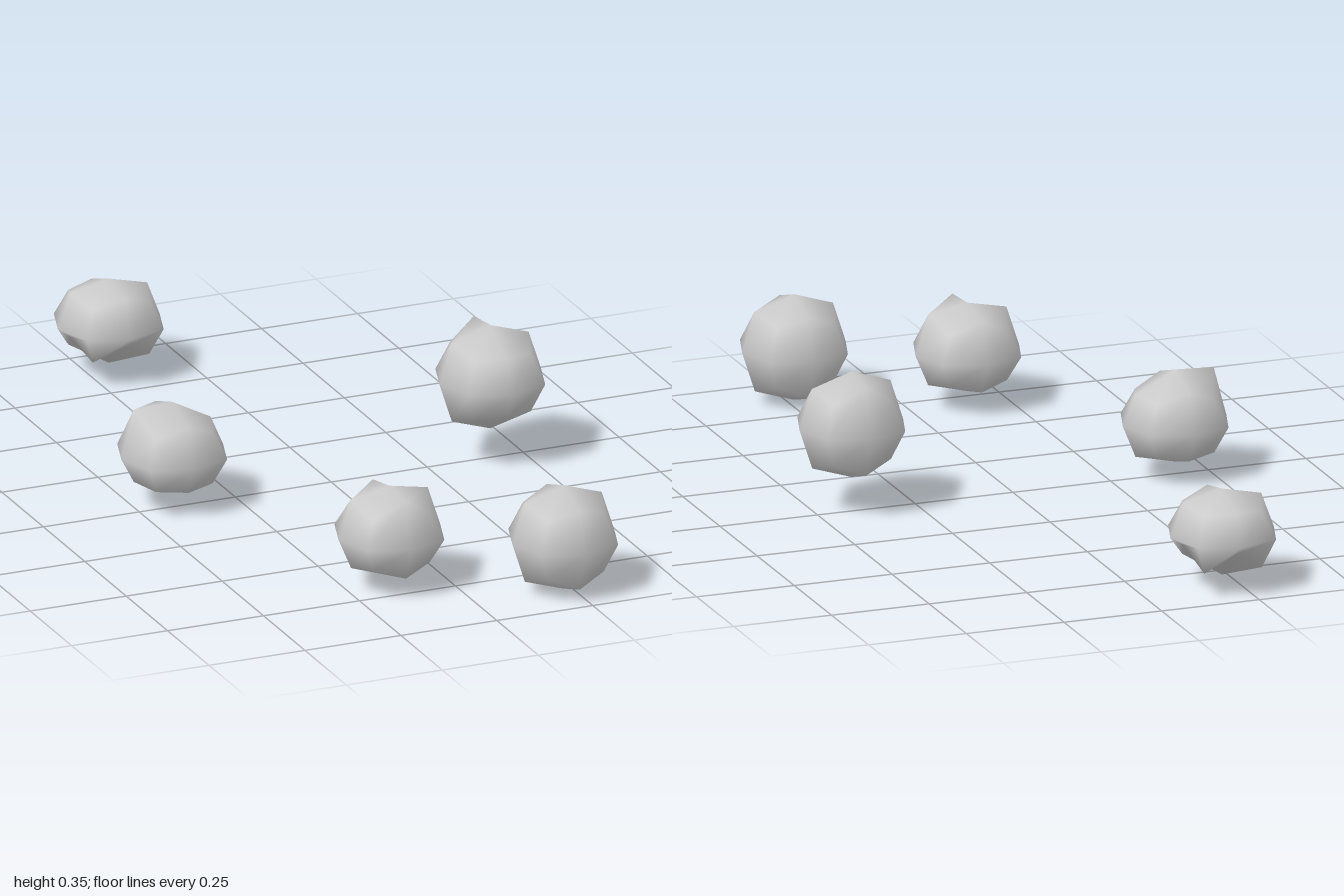
import * as THREE from 'three';
import { mergeVertices } from 'three/addons/utils/BufferGeometryUtils.js';

const R = 0.1325;
// Distance along each axis for face centres, edge middles and corners of a once-rounded cube
const REACH = [0, 1, 0.755, 0.556];

// heights: vertical offsets from the stone's centre, keyed by the grid point 'x,y,z' (-1, 0 or 1)
const STONES = [
  { at: [0.23, 0.1325, 0.868], heights: {} },
  { at: [-0.144, 0.137, 0.685], squash: 0.84, heights: {
    '0,1,0': 0.119, '1,1,0': 0.1, '-1,1,0': 0.098, '0,1,1': 0.112, '0,1,-1': 0.1,
    '0,-1,0': -0.103, '1,-1,0': -0.077, '-1,-1,0': -0.077, '0,-1,-1': -0.077 } },
  { at: [-0.41, 0.137, -0.01], squash: 0.9, heights: {
    '0,1,0': 0.128, '-1,1,0': 0.123, '1,1,0': 0.075, '0,1,-1': 0.095, '0,1,1': 0.095,
    '0,-1,0': -0.103, '-1,-1,0': -0.062, '1,-1,0': -0.08, '0,-1,-1': -0.073, '0,-1,1': -0.07 } },
  // Undercut stone: lower edges lifted, lower corners left hanging
  { at: [-0.205, 0.135, -0.868], squash: 0.9, heights: {
    '0,1,0': 0.11, '0,1,1': 0.09, '0,1,-1': 0.075, '-1,1,0': 0.088, '1,1,0': 0.085,
    '0,-1,0': -0.106, '1,-1,0': -0.02, '-1,-1,0': -0.025, '0,-1,1': -0.03, '0,-1,-1': -0.025,
    '1,-1,1': -0.068, '-1,-1,1': -0.068, '1,-1,-1': -0.074, '-1,-1,-1': -0.074 } },
  { at: [0.408, 0.213, 0.015], heights: {
    '0,1,-1': 0.12, '0,1,1': 0.08, '0,-1,1': -0.07, '0,-1,-1': -0.1 } },
];

function stoneGeometry({ squash = 1, heights }) {
  const box = new THREE.BoxGeometry(2, 2, 2, 2, 2, 2);
  box.deleteAttribute('uv');
  box.deleteAttribute('normal');
  const geometry = mergeVertices(box);
  const p = geometry.attributes.position;
  for (let i = 0; i < p.count; i++) {
    const grid = [p.getX(i), p.getY(i), p.getZ(i)].map((v) => Math.round(v) || 0);
    const s = R * REACH[grid.filter((v) => v !== 0).length];
    p.setXYZ(i, grid[0] * s, heights[grid.join()] ?? grid[1] * s * squash, grid[2] * s);
  }
  geometry.computeVertexNormals();
  return geometry;
}

export function createModel() {
  const group = new THREE.Group();
  group.name = 'scatteredStones';
  const material = new THREE.MeshStandardMaterial({ color: 0xcccccc });
  STONES.forEach((stone, i) => {
    const mesh = new THREE.Mesh(stoneGeometry(stone), material);
    mesh.name = `stone${i + 1}`;
    mesh.position.set(...stone.at);
    group.add(mesh);
  });
  return group;
}
